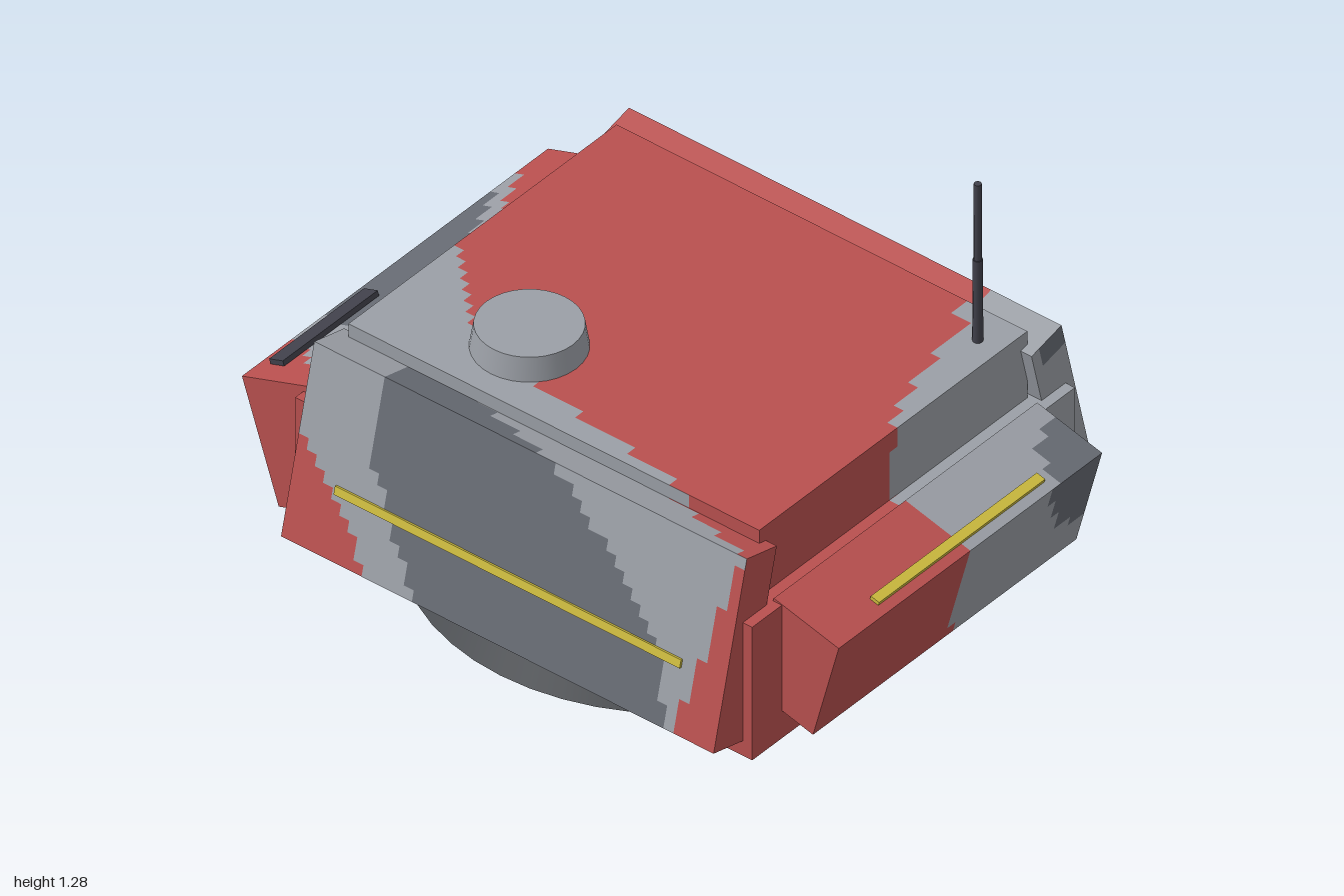
import * as THREE from 'three';

const mat = (name, color) => {
  const m = new THREE.MeshStandardMaterial({ color });
  m.name = name;
  return m;
};

// Piecewise-linear lookup through [input, output] pairs
function curve(points, t) {
  if (t <= points[0][0]) return points[0][1];
  for (let i = 1; i < points.length; i++) {
    const [a, b] = [points[i - 1], points[i]];
    if (t <= b[0]) return a[1] + (b[1] - a[1]) * (t - a[0]) / (b[0] - a[0]);
  }
  return points[points.length - 1][1];
}

const ROOF_EDGE = [[-0.74, 0.02], [-0.69, -0.1], [-0.42, -0.36], [-0.1, -0.46], [0.2, -0.5], [0.5, -0.57], [0.77, -0.66]];
const RED = 0, GREY = 1, DARK = 2;

// Blocky camouflage: which paint covers a point on the armour
function camo({ x, y, z }, part) {
  if (part === 'backArmour') {
    const h = y > 0.48 ? z + 1 : (y - 0.48) * 0.2;
    if (x > 0.63) return y < 0.27 && z > -0.84 ? GREY : RED;
    if (x > -0.29 - 0.3 * Math.max(0, h) && x < 0.43 - 2.1 * h) return DARK;
    return x > -0.43 - 0.65 * h && x < 0.55 - 2 * h ? GREY : RED;
  }
  // front corner on the model's left
  if (Math.hypot(x - 0.6, y - 0.44, z - 1.05) < 0.245) return DARK;
  if (part === 'leftSideArmour' && z > 0.765 && x > 0.58 && y > 0.65) return DARK;
  const startX = y < 0.18 ? 0.15 - (y - 0.08) * 1.2 : y < 0.545 && z > 0.79 ? 0 : -0.03 + 0.3 * Math.max(0, y - 0.6);
  const startZ = y > 0.67 && x > 0.5 ? 0.53 : 0.6 + 0.65 * Math.max(0, 0.45 - x) ** 2;
  if (x > startX && z > startZ) return GREY;
  // flank and roof on the model's right
  if (part === 'rightSideArmour') {
    if (y > 0.7 && x > -0.66) {
      if (z > -0.48 && z < -0.2 + (-0.57 - x) * 3) return DARK;
      return x < curve(ROOF_EDGE, z) ? GREY : RED;
    }
    const low = Math.max(0, 0.5 - y);
    const darkEnd = curve([[0.16, 0.6], [0.34, 0.55], [0.51, 0.4], [0.735, 0.1]], y);
    if (z > -0.48 + low * 0.6 && z < darkEnd) return DARK;
    return z < -0.73 + low * 0.9 || z > 0.62 + 0.25 * (y - 0.16) ? RED : GREY;
  }
  if (x < curve(ROOF_EDGE, z) && z < 0.7) return z < -0.7 && x < -0.65 ? RED : GREY;
  return RED;
}

export function createModel() {
  const model = new THREE.Group();
  model.name = 'armouredTurret';
  const paints = [mat('red paint', 0xb9504f), mat('light grey paint', 0x9b9fa6), mat('dark grey paint', 0x676b73)];
  const baseMat = mat('turret ring metal', 0x4d5054);
  const blackMat = mat('dark fittings', 0x41414b);
  const yellow = mat('yellow trim', 0xcdbb3e);

  const add = (name, geometry, material, pos, rot = [0, 0, 0]) => {
    const mesh = new THREE.Mesh(geometry, material);
    mesh.name = name;
    mesh.position.set(...pos);
    mesh.rotation.set(...rot);
    model.add(mesh);
    return mesh;
  };

  // Box cut into small squares, each sorted into one of the three paints
  function camoBox(name, size, pos, rot) {
    const geo = new THREE.BoxGeometry(...size, ...size.map(s => Math.ceil(s / 0.035)));
    const mesh = add(name, geo, paints, pos, rot);
    mesh.updateMatrix();
    const buckets = [[], [], []];
    const p = geo.attributes.position, idx = geo.index.array;
    const a = new THREE.Vector3(), b = new THREE.Vector3();
    for (let i = 0; i < idx.length; i += 6) {
      // the second and third corners' diagonal gives the middle of the square
      a.fromBufferAttribute(p, idx[i + 1]);
      b.fromBufferAttribute(p, idx[i + 2]);
      a.add(b).multiplyScalar(0.5);
      b.fromBufferAttribute(p, idx[i]).add(new THREE.Vector3().fromBufferAttribute(p, idx[i + 4])).multiplyScalar(0.5);
      a.add(b).multiplyScalar(0.5).applyMatrix4(mesh.matrix);
      buckets[camo(a, name)].push(...idx.slice(i, i + 6));
    }
    geo.clearGroups();
    geo.setIndex(buckets.flat());
    let start = 0;
    buckets.forEach((list, m) => {
      if (list.length) geo.addGroup(start, list.length, m);
      start += list.length;
    });
  }

  // Turret ring
  add('turretRing', new THREE.CylinderGeometry(0.7, 0.742, 0.09, 48), baseMat, [0, 0.045, -0.02]);

  // Main body
  camoBox('lowerHull', [1.36, 0.45, 1.585], [0, 0.305, 0.01]);
  camoBox('upperHull', [1.13, 0.255, 1.425], [0, 0.6275, 0.02]);

  // Bolted-on tilted armour
  camoBox('frontArmour', [1.11, 0.347, 0.233], [0, 0.3425, 0.8425], [0.26, 0, 0]);
  camoBox('backArmour', [1.29, 0.4, 0.268], [0, 0.33, -0.805], [-0.325, 0, 0]);
  for (const [side, s] of [['left', 1], ['right', -1]]) {
    camoBox(side + 'SideArmour', [0.13, 0.592, 1.5], [0.67 * s, 0.432, 0.02], [0, 0, 0.239 * s]);
    add(side + 'SideStripe', new THREE.BoxGeometry(0.009, 0.026, 1.2), yellow, [0.757 * s, 0.363, 0.02], [0, 0, 0.239 * s]);
  }

  // Trim and handle on the armour tops
  add('frontStripe', new THREE.BoxGeometry(0.7, 0.014, 0.03), yellow, [0, 0.497, 0.955], [0.26, 0, 0]);
  add('backHandle', new THREE.BoxGeometry(0.4, 0.016, 0.05), blackMat, [-0.37, 0.507, -0.937], [-0.325, 0, 0]);

  // Roof hatch and aerial
  add('hatch', new THREE.CylinderGeometry(0.15, 0.163, 0.08, 32), paints[GREY], [-0.33, 0.79, -0.258]);
  add('aerialBase', new THREE.CylinderGeometry(0.014, 0.015, 0.28, 10), blackMat, [0.45, 0.89, 0.655]);
  add('aerial', new THREE.CylinderGeometry(0.011, 0.012, 0.535, 10), blackMat, [0.45, 1.0175, 0.655]);

  return model;
}
